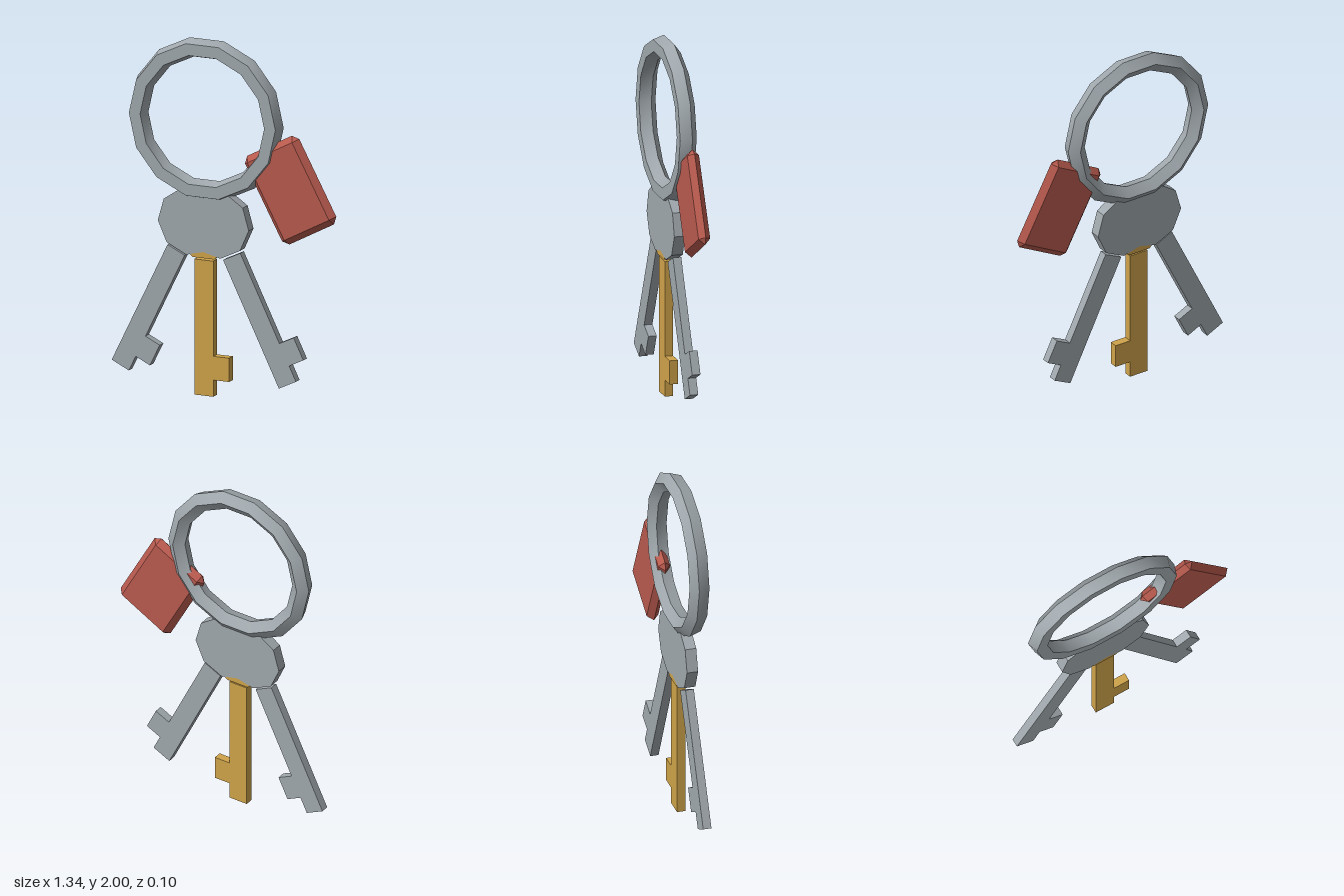
import * as THREE from 'three';
import { toCreasedNormals } from 'three/addons/utils/BufferGeometryUtils.js';
import { ConvexGeometry } from 'three/addons/geometries/ConvexGeometry.js';

const material = (color, flat = true) => new THREE.MeshStandardMaterial({ color, flatShading: flat });

function addMesh(parent, name, geometry, mat, x = 0, y = 0) {
  const mesh = new THREE.Mesh(geometry, mat);
  mesh.name = name;
  mesh.position.set(x, y, 0);
  parent.add(mesh);
  return mesh;
}

// Fourteen-sided ring with a five-sided section, one point of it to the back
function ringGeometry(radius, tube) {
  const section = [];
  for (let i = 0; i <= 5; i++) {
    const a = -Math.PI / 2 + (i % 5) * Math.PI * 2 / 5;
    section.push(new THREE.Vector2(radius + tube * Math.cos(a), tube * Math.sin(a)));
  }
  const lathe = new THREE.LatheGeometry(section, 14, Math.PI / 2);
  lathe.rotateX(Math.PI / 2);
  return toCreasedNormals(lathe, 0.6);
}

// Flat tag: small front and back faces, sloping to an outline with cut corners
function tagGeometry(w, h, r) {
  const points = [];
  for (const sx of [-1, 1]) {
    for (const sy of [-1, 1]) {
      const x = sx * (w / 2 - r), y = sy * (h / 2 - r);
      points.push(
        new THREE.Vector3(x, y, r), new THREE.Vector3(x, y, -r),
        new THREE.Vector3(x + sx * r, y, 0), new THREE.Vector3(x, y + sy * r, 0));
    }
  }
  return new ConvexGeometry(points);
}

// Key hanging from its origin: nine-sided head, blade and one tooth
function makeKey(name, mat, headDepth) {
  const key = new THREE.Group();
  key.name = name;
  const head = new THREE.CylinderGeometry(0.19, 0.19, headDepth, 9);
  head.rotateX(-Math.PI / 2);
  addMesh(key, 'keyHead', head, mat, 0, -0.19);
  addMesh(key, 'keyBlade', new THREE.BoxGeometry(0.114, 0.765, 0.047), mat, 0, -0.7635);
  addMesh(key, 'keyTooth', new THREE.BoxGeometry(0.096, 0.134, 0.047), mat, 0.104, -0.985);
  return key;
}

export function createModel() {
  const model = new THREE.Group();
  model.name = 'keyRing';
  const steel = material(0xa0a8ad);
  const brass = material(0xcfa34a);

  addMesh(model, 'ring', ringGeometry(0.406, 0.057), material(0xa0a8ad, false), -0.12, 1.552);

  // Three keys fanned out from the bottom of the ring
  const keys = [
    ['rightKey', steel, -0.453, 0.063],
    ['middleKey', brass, 0, 0.062],
    ['leftKey', steel, 0.453, 0.063],
  ];
  for (const [name, mat, angle, depth] of keys) {
    const key = makeKey(name, mat, depth);
    key.position.set(-0.12, 1.146, 0);
    key.rotation.z = angle;
    model.add(key);
  }

  const tag = addMesh(model, 'tag', tagGeometry(0.37, 0.535, 0.033), material(0xb85a4e), 0.39, 1.212);
  tag.rotation.z = 0.493;

  // Centre the depth
  for (const part of model.children) part.position.z = 0.0055;
  return model;
}
